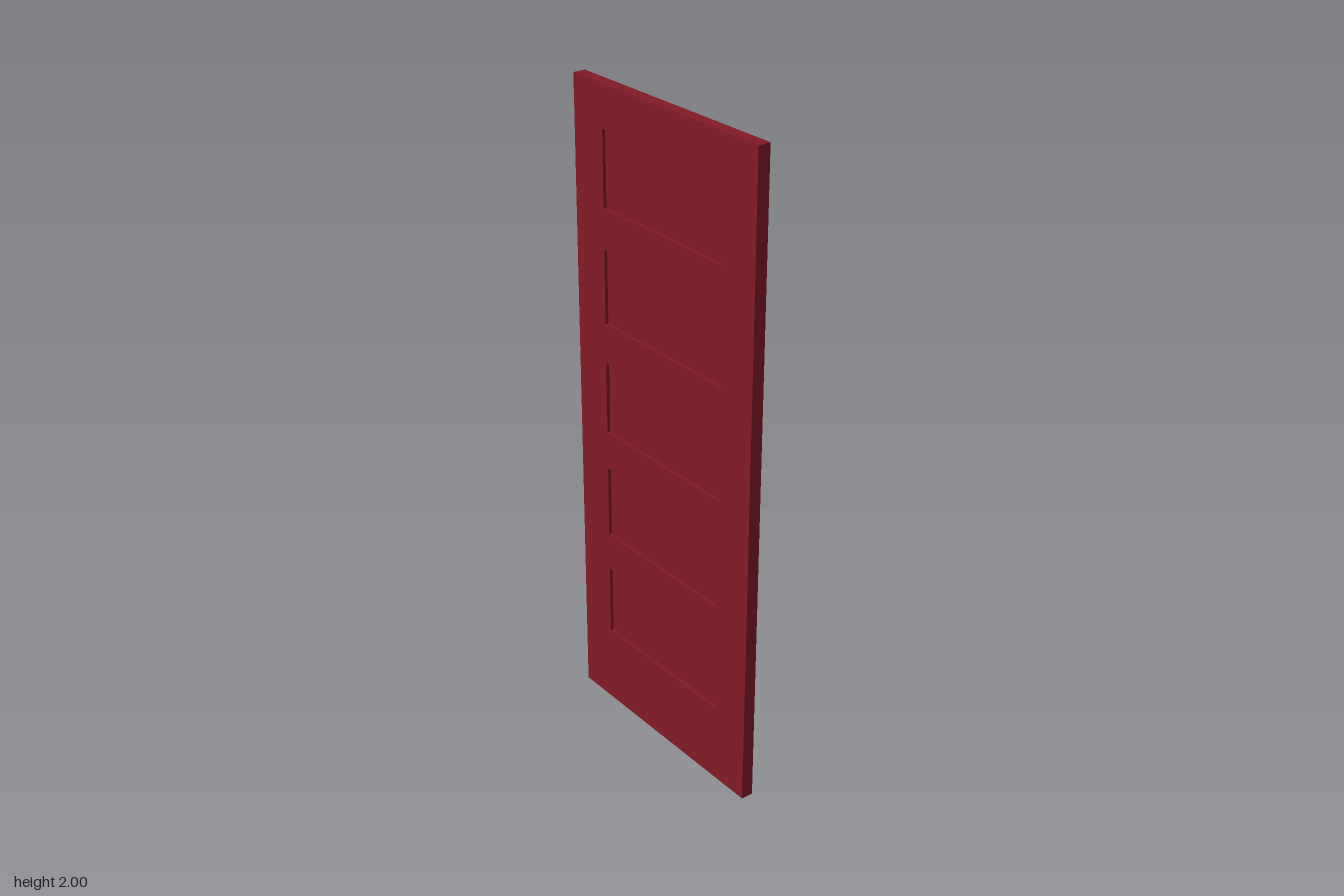
import * as THREE from 'three';

const W = 0.77, H = 2, T = 0.038;
const RECESS = 0.01;
const PANEL = { w: 0.514, h: 0.228, first: 0.252, pitch: 0.3485, count: 5 };

// Traces a rectangle centred on x = 0, standing on y
function rect(path, w, y, h) {
  path.moveTo(-w / 2, y);
  path.lineTo(w / 2, y);
  path.lineTo(w / 2, y + h);
  path.lineTo(-w / 2, y + h);
  path.closePath();
  return path;
}

export function createModel() {
  const door = new THREE.Group();
  door.name = 'door';
  const paint = new THREE.MeshStandardMaterial({ color: 0x821b27 });

  // Frame of stiles and rails, with an opening for each panel
  const outline = rect(new THREE.Shape(), W, 0, H);
  for (let i = 0; i < PANEL.count; i++) {
    const y = PANEL.first + i * PANEL.pitch;
    outline.holes.push(rect(new THREE.Path(), PANEL.w, y, PANEL.h));

    // Panel set back from both faces
    const panel = new THREE.Mesh(
      new THREE.BoxGeometry(PANEL.w, PANEL.h, T - 2 * RECESS), paint);
    panel.name = `panel${i + 1}`;
    panel.position.y = y + PANEL.h / 2;
    door.add(panel);
  }
  const geometry = new THREE.ExtrudeGeometry(outline, { depth: T, bevelEnabled: false });
  geometry.translate(0, 0, -T / 2);
  const frame = new THREE.Mesh(geometry, paint);
  frame.name = 'frame';
  door.add(frame);

  return door;
}
